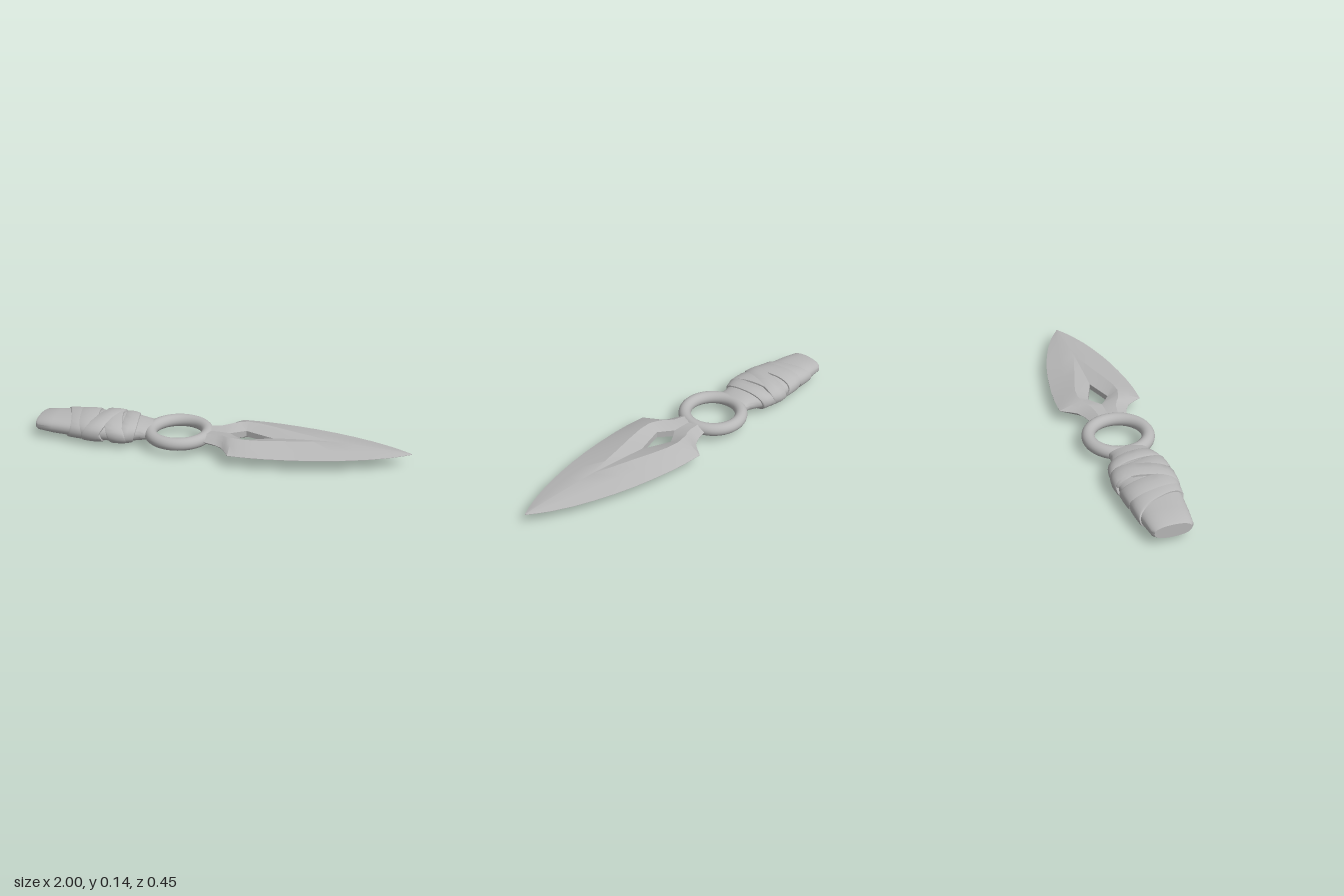
import * as THREE from 'three';
import { toCreasedNormals } from 'three/addons/utils/BufferGeometryUtils.js';

const MID_Y = 0.071;

// Skin a list of equal-length closed cross-sections; caps fan from their centres.
function loft(rings, crease, capped = true) {
  const n = rings[0].length, pos = [], idx = [];
  rings.forEach(r => r.forEach(p => pos.push(...p)));
  for (let i = 0; i < rings.length - 1; i++) {
    for (let j = 0; j < n; j++) {
      const a = i * n + j, b = i * n + (j + 1) % n;
      idx.push(a, a + n, b, b, a + n, b + n);
    }
  }
  if (capped) {
    [0, rings.length - 1].forEach(k => {
      const centre = [0, 1, 2].map(c => rings[k].reduce((s, p) => s + p[c], 0) / n);
      const m = pos.length / 3;
      pos.push(...centre);
      for (let j = 0; j < n; j++) {
        const a = k * n + j, b = k * n + (j + 1) % n;
        if (k === 0) idx.push(m, a, b); else idx.push(m, b, a);
      }
    });
  }
  const g = new THREE.BufferGeometry();
  g.setAttribute('position', new THREE.Float32BufferAttribute(pos, 3));
  g.setIndex(idx);
  return toCreasedNormals(g, crease);
}

// Linear lookup in rows of [x, ...values]
function sample(rows, x) {
  let i = 0;
  while (i < rows.length - 2 && rows[i + 1][0] < x) i++;
  const t = THREE.MathUtils.clamp((x - rows[i][0]) / (rows[i + 1][0] - rows[i][0]), 0, 1);
  return rows[i].map((v, k) => THREE.MathUtils.lerp(v, rows[i + 1][k], t));
}

// Blade stations: x, hole edge z, ridge z, outer edge z, height at hole, height at ridge
const BLADE = [
  [-0.07, 0, 0.05, 0.095, 0.024, 0.028],
  [0.0, 0, 0.06, 0.118, 0.023, 0.032],
  [0.04, 0, 0.075, 0.143, 0.021, 0.038],
  [0.06, 0, 0.09, 0.172, 0.02, 0.04],
  [0.09, 0.024, 0.1, 0.224, 0.018, 0.043],
  [0.135, 0.055, 0.112, 0.225, 0.016, 0.045],
  [0.2, 0.032, 0.108, 0.225, 0.015, 0.043],
  [0.285, 0, 0.088, 0.22, 0.015, 0.04],
  [0.4, 0, 0.056, 0.206, 0.022, 0.036],
  [0.5, 0, 0.03, 0.19, 0.026, 0.033],
  [0.6, 0, 0.005, 0.168, 0.029, 0.03],
  [0.7, 0, 0.004, 0.14, 0.025, 0.025],
  [0.8, 0, 0.003, 0.106, 0.019, 0.019],
  [0.9, 0, 0.002, 0.062, 0.012, 0.012],
  [0.96, 0, 0.001, 0.028, 0.007, 0.007],
  [1.0, 0, 0.0005, 0.002, 0.002, 0.002],
];

// Handle core: x, half width, half height
const HANDLE = [
  [-1.0, 0.088, 0.034], [-0.985, 0.1, 0.041], [-0.9, 0.112, 0.05],
  [-0.72, 0.131, 0.054], [-0.6, 0.141, 0.055], [-0.49, 0.132, 0.053],
  [-0.45, 0.113, 0.05], [-0.41, 0.099, 0.046], [-0.365, 0.1, 0.033],
];

const bend = v => Math.sign(v) * Math.abs(v) ** 0.85;

// Rounded handle section, optionally inflated and leaning along x
function handleRing(x, inflate = 0, leanZ = 0, leanY = 0) {
  const ring = [];
  for (let j = 0; j < 36; j++) {
    const t = (j / 36) * Math.PI * 2;
    const c = bend(Math.cos(t)), s = bend(Math.sin(t));
    const px = x + leanZ * c + leanY * s;
    const [, a, b] = sample(HANDLE, px);
    ring.push([px, s * (b + inflate), c * (a + inflate)]);
  }
  return ring;
}

export function createModel() {
  const model = new THREE.Group();
  const steel = new THREE.MeshStandardMaterial({ color: 0xb8b8b8 });
  steel.name = 'grey steel';
  const add = (name, geometry) => {
    const mesh = new THREE.Mesh(geometry, steel);
    mesh.name = name;
    mesh.position.y = MID_Y;
    model.add(mesh);
    return mesh;
  };

  // Two mirrored blade halves enclosing the diamond opening
  for (const side of [1, -1]) {
    const rings = BLADE.map(([x, zi, zr, zo, hi, hr]) => {
      const zm = (zr + zo) / 2;
      const top = [[zo, 0.001], [zm, hr * 0.6], [zr, hr], [zi, hi]];
      const loop = [...top, ...top.map(([z, y]) => [z, -y]).reverse()]
        .map(([z, y]) => [x, y, z * side]);
      return side > 0 ? loop : loop.reverse();
    });
    add(side > 0 ? 'bladeFront' : 'bladeBack', loft(rings, 0.4));
  }

  // Finger ring
  const ring = add('fingerRing', new THREE.TorusGeometry(0.153, 0.034, 20, 64));
  ring.rotation.x = Math.PI / 2;
  ring.position.x = -0.22;

  // Handle core
  add('handle', loft(HANDLE.map(([x]) => handleRing(x)), 0.6));

  // Wrapped bands: centre x, half width, lean across z, lean across y, thickness
  const bands = [
    [-0.79, 0.055, 0.05, 0.02, 0.009],
    [-0.7, 0.055, 0.03, -0.02, 0.011],
    [-0.635, 0.05, -0.035, 0.025, 0.014],
    [-0.56, 0.05, 0.035, -0.02, 0.012],
    [-0.495, 0.04, 0.02, 0.015, 0.01],
  ];
  bands.forEach(([x, w, lz, ly, h], i) => {
    const rim = [[-1, -0.008], [-0.96, h * 0.7], [-0.8, h], [0, h * 1.1], [0.8, h], [0.96, h * 0.7], [1, -0.008]];
    add('gripBand' + (i + 1), loft(rim.map(([t, d]) => handleRing(x + t * w, d, lz, ly)), 0.7, false));
  });

  return model;
}
